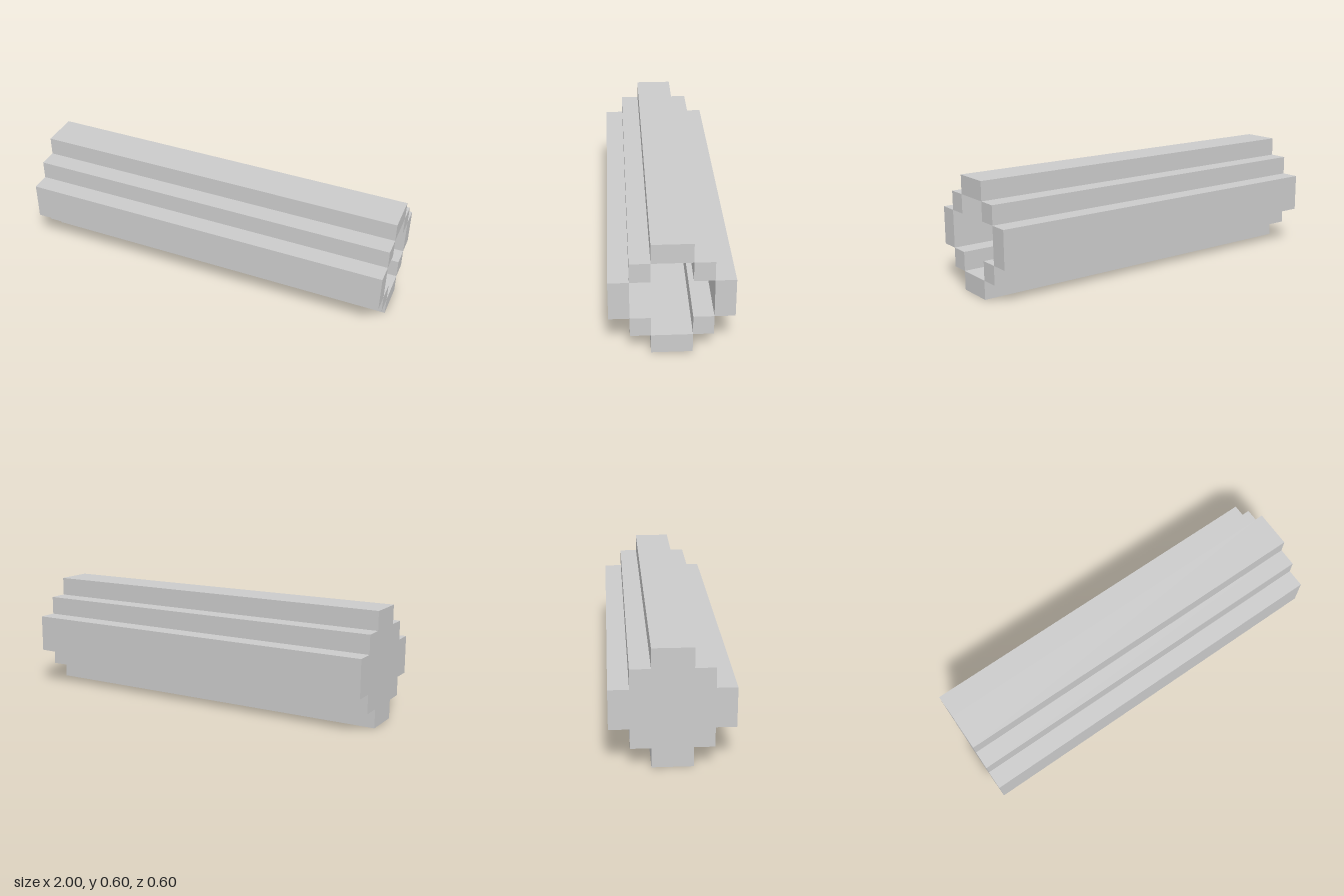
import * as THREE from 'three';

const LENGTH = 2, CENTRE_Y = 0.3, CAP = 0.1;

export function createModel() {
  const group = new THREE.Group();
  group.name = 'hollowLog';
  const material = new THREE.MeshStandardMaterial({ color: 0xcccccc, flatShading: true });

  // Full-length bar of the stepped wall, placed around the log's axis
  const addBar = (name, height, depth, y, z) => {
    const bar = new THREE.Mesh(new THREE.BoxGeometry(LENGTH, height, depth), material);
    bar.name = name;
    bar.position.set(0, CENTRE_Y + y, z);
    group.add(bar);
  };

  for (const s of [1, -1]) {
    addBar(s > 0 ? 'topBar' : 'bottomBar', 0.1, 0.2, s * 0.25, 0);
    addBar(s > 0 ? 'frontBar' : 'backBar', 0.2, 0.1, 0, s * 0.25);
    for (const t of [1, -1]) {
      addBar((s > 0 ? 'upper' : 'lower') + (t > 0 ? 'Front' : 'Back') + 'CornerBar',
        0.1, 0.1, s * 0.15, t * 0.15);
    }
  }

  // Cross-shaped plug closing the -x end; the +x end stays open
  const a = 0.1, b = 0.2;
  const cross = new THREE.Shape([
    [b, -a], [b, a], [a, a], [a, b], [-a, b], [-a, a],
    [-b, a], [-b, -a], [-a, -a], [-a, -b], [a, -b], [a, -a],
  ].map(([x, y]) => new THREE.Vector2(x, y)));
  const plug = new THREE.Mesh(
    new THREE.ExtrudeGeometry(cross, { depth: CAP, bevelEnabled: false }).rotateY(Math.PI / 2),
    material,
  );
  plug.name = 'endPlug';
  plug.position.set(-LENGTH / 2, CENTRE_Y, 0);
  group.add(plug);

  return group;
}
